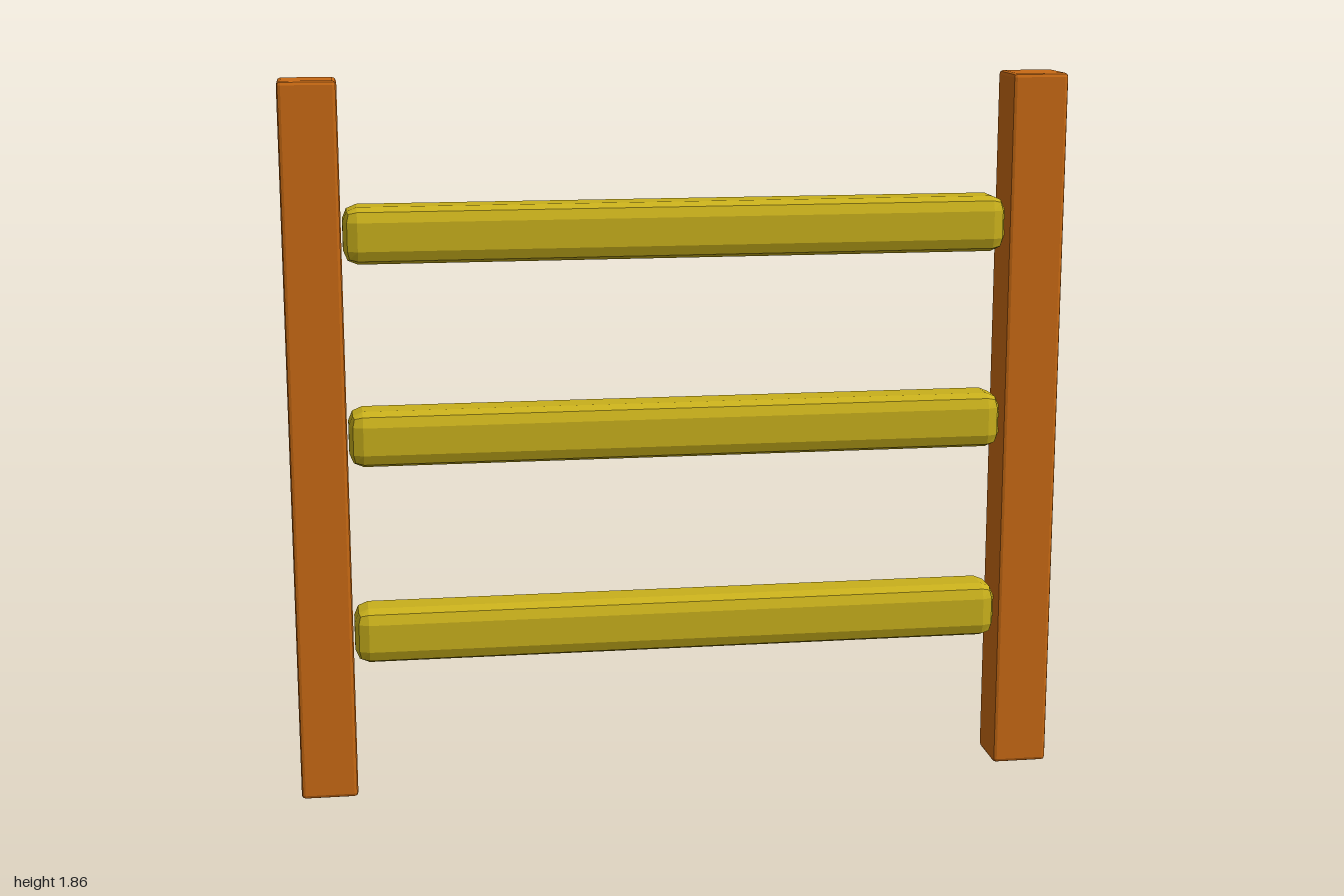
import * as THREE from 'three';

// Box with rounded edges, two facets per edge, by remapping a 3x3x3 grid box
function roundedBox(w, h, d, r) {
  const geo = new THREE.BoxGeometry(1, 1, 1, 3, 3, 3);
  const pos = geo.attributes.position;
  const inner = new THREE.Vector3(w / 2 - r, h / 2 - r, d / 2 - r);
  const p = new THREE.Vector3(), s = new THREE.Vector3();
  for (let i = 0; i < pos.count; i++) {
    p.fromBufferAttribute(pos, i);
    s.set(Math.sign(p.x), Math.sign(p.y), Math.sign(p.z));
    p.set(...p.toArray().map((c) => (Math.abs(c) > 0.4 ? Math.sign(c) : 0)));
    p.normalize().multiplyScalar(r).add(s.multiply(inner));
    pos.setXYZ(i, p.x, p.y, p.z);
  }
  geo.computeVertexNormals();
  return geo;
}

export function createModel() {
  const group = new THREE.Group();
  group.name = 'fence';
  const orange = new THREE.MeshStandardMaterial({ color: 0xc96a14, flatShading: true });
  const yellow = new THREE.MeshStandardMaterial({ color: 0xc9b01c, flatShading: true });

  const add = (name, geo, material, x, y) => {
    const mesh = new THREE.Mesh(geo, material);
    mesh.name = name;
    mesh.position.set(x, y, 0);
    group.add(mesh);
  };

  // Upright posts
  const height = 1.855, width = 0.146;
  const post = roundedBox(width, height, 0.143, 0.01);
  add('leftPost', post, orange, 1 - width / 2, height / 2);
  add('rightPost', post, orange, -1 + width / 2, height / 2);

  // Horizontal rails
  const rail = roundedBox(1.7, 0.144, 0.143, 0.036);
  ['lowerRail', 'middleRail', 'upperRail'].forEach((name, i) => {
    add(name, rail, yellow, 0, 0.428 + i * 0.52);
  });

  return group;
}
